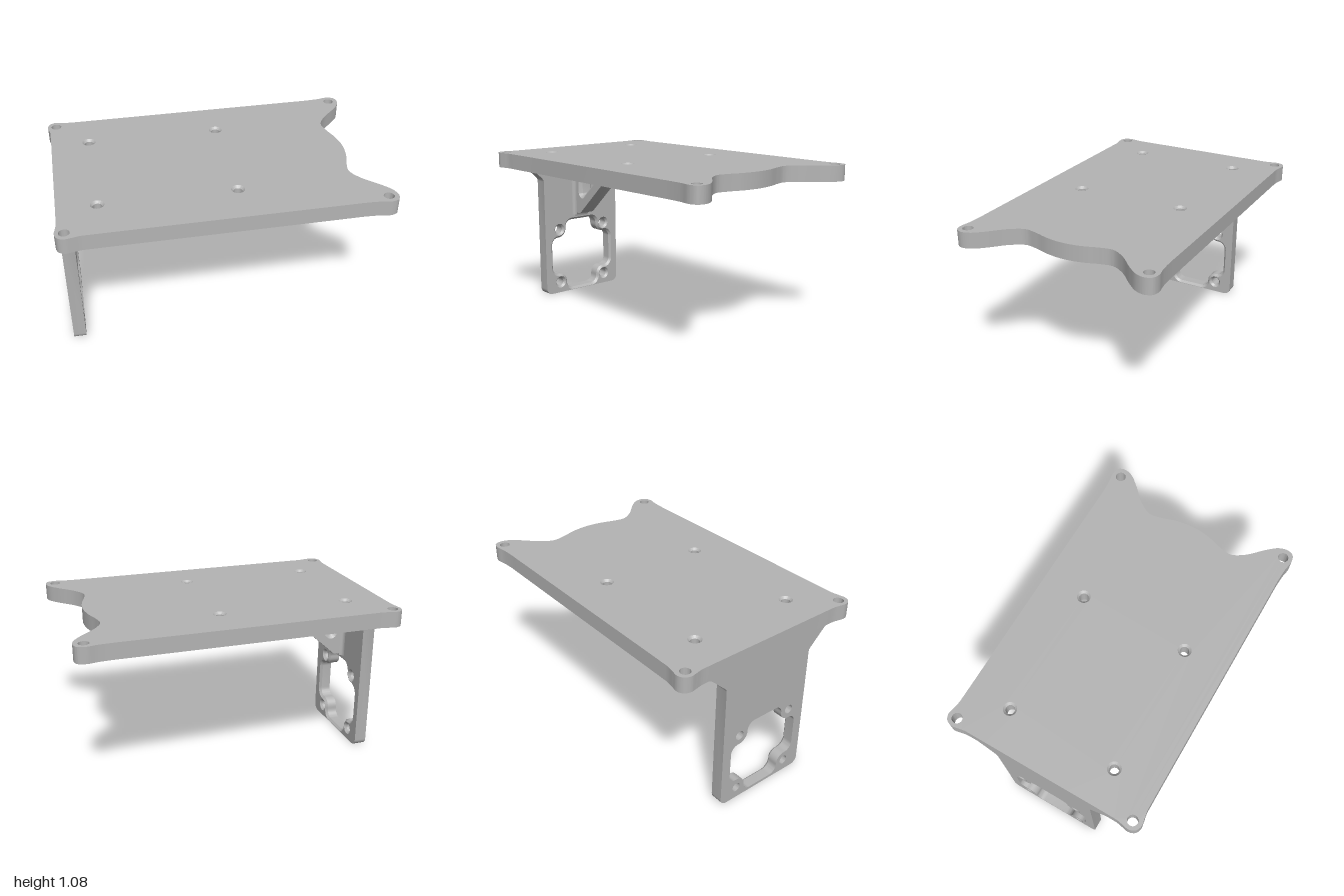
import * as THREE from 'three';
import { toCreasedNormals } from 'three/addons/utils/BufferGeometryUtils.js';

const V = (x, y) => new THREE.Vector2(x, y);

// Points of an arc; angles in degrees
function arc(cx, cy, r, a0, a1, n = 10) {
  return Array.from({ length: n + 1 }, (_, i) => {
    const a = THREE.MathUtils.degToRad(a0 + ((a1 - a0) * i) / n);
    return V(cx + r * Math.cos(a), cy + r * Math.sin(a));
  });
}

// Round hole as a function of how far its rim is widened
const roundHole = (x, y, r, chamferScale = 1) => (c) => arc(x, y, r + c * chamferScale, 0, 360, 32).slice(0, -1);

// Slab along z with holes whose rims are chamfered by c0 (bottom) and c1 (top)
function slab(outline, holes, depth, c0 = 0, c1 = 0) {
  const pos = [];
  const cap = (c, z, flip) => {
    const shape = new THREE.Shape(outline);
    shape.holes = holes.map((h) => new THREE.Path(h(c)));
    const g = new THREE.ShapeGeometry(shape).toNonIndexed();
    const p = g.attributes.position;
    for (let i = 0; i < p.count; i += 3) {
      for (const k of flip ? [0, 2, 1] : [0, 1, 2]) pos.push(p.getX(i + k), p.getY(i + k), z);
    }
  };
  const wall = (lo, hi, z0, z1) => lo.forEach((a, i) => {
    const j = (i + 1) % lo.length, b = lo[j], c = hi[j], d = hi[i];
    pos.push(a.x, a.y, z0, b.x, b.y, z0, c.x, c.y, z1, a.x, a.y, z0, c.x, c.y, z1, d.x, d.y, z1);
  });
  cap(c0, 0, true);
  cap(c1, depth, false);
  wall(outline, outline, 0, depth);
  for (const h of holes) {
    const ring = (c) => h(c).reverse();
    if (c0) wall(ring(c0), ring(0), 0, c0);
    wall(ring(0), ring(0), c0, depth - c1);
    if (c1) wall(ring(0), ring(c1), depth - c1, depth);
  }
  const g = new THREE.BufferGeometry();
  g.setAttribute('position', new THREE.Float32BufferAttribute(pos, 3));
  return toCreasedNormals(g, 0.5);
}

// Wavy outline of the top plate, mirrored front to back
function plateOutline() {
  const half = [
    [0.848, 0], [0.835, 0.11], [0.805, 0.21], [0.793, 0.29], [0.837, 0.372], [0.935, 0.472],
    [0.985, 0.535], [0.999, 0.59], [0.983, 0.63], [0.94, 0.645], [0.87, 0.635], [0.78, 0.63],
    [0.7, 0.63], [0, 0.63], [-0.8, 0.63], [-0.86, 0.631], [-0.91, 0.64], [-0.95, 0.645],
    [-0.985, 0.628], [-1, 0.59], [-0.994, 0.55], [-0.987, 0.51], [-0.986, 0.45], [-0.986, 0],
  ];
  const back = half.slice(1, -1).reverse().map(([x, z]) => [x, -z]);
  const pts = [...half, ...back].map(([x, y]) => new THREE.Vector3(x, y, 0));
  return new THREE.CatmullRomCurve3(pts, true, 'centripetal').getPoints(368).slice(0, -1).map((p) => V(p.x, p.y));
}

// Square opening with scalloped corners that go round the four screw holes
function motorOpening(c) {
  const quarter = [
    ...arc(0.208, 0.086, 0.052 + c, 0, 90),
    ...arc(0.2, 0.2, 0.062 - c, 270, 180),
    ...arc(0.086, 0.208, 0.052 + c, 0, 90),
  ];
  return [0, 1, 2, 3].flatMap((k) =>
    quarter.map((p) => p.clone().rotateAround(V(0, 0), (k * Math.PI) / 2).add(V(0, 0.278))));
}

// Rounded triangular window of the rib
const ribWindow = (c) => [
  ...arc(-0.815, 0.89, 0.02 + c, 90, 180),
  ...arc(-0.812, 0.748, 0.02 + c, 180, 312),
  ...arc(-0.655, 0.888, 0.02 + c, -48, 90),
];

export function createModel() {
  const model = new THREE.Group();
  const grey = new THREE.MeshStandardMaterial({ color: 0xb4b4b4 });
  grey.name = 'grey';
  const add = (name, geometry) => {
    const mesh = new THREE.Mesh(geometry, grey);
    mesh.name = name;
    model.add(mesh);
    return mesh;
  };

  // Top plate with corner holes and chamfered mounting holes
  const plateHoles = [];
  for (const s of [-1, 1]) {
    plateHoles.push(roundHole(-0.945, s * 0.587, 0.032, 0), roundHole(0.938, s * 0.587, 0.032, 0));
    plateHoles.push(roundHole(-0.745, s * 0.352, 0.028), roundHole(0.085, s * 0.352, 0.028));
  }
  const plate = slab(plateOutline(), plateHoles, 0.1, 0, 0.014);
  plate.rotateX(-Math.PI / 2).translate(0, 0.975, 0);
  add('topPlate', plate);

  // Upright bracket with flared shoulders
  const side = [
    ...arc(0.278, 0.045, 0.045, -90, 0, 8),
    V(0.323, 0.845), V(0.326, 0.858), V(0.334, 0.868), V(0.425, 0.955), V(0.438, 0.966), V(0.455, 0.975),
  ];
  const bracketOutline = [...side, ...side.slice().reverse().map((p) => V(-p.x, p.y))];
  const bracketHoles = [motorOpening];
  for (const z of [-0.2, 0.2]) for (const y of [0.078, 0.478]) bracketHoles.push(roundHole(z, y, 0.03, 0.9));
  const bracket = slab(bracketOutline, bracketHoles, 0.08, 0, 0.015);
  bracket.rotateY(Math.PI / 2).translate(-0.985, 0, 0);
  add('uprightBracket', bracket);

  // Diagonal rib between bracket and plate
  const ribOutline = [
    V(-0.91, 0.975), V(-0.91, 0.56), V(-0.905, 0.56), V(-0.902, 0.575), V(-0.893, 0.586), V(-0.88, 0.59),
    V(-0.85, 0.59), V(-0.835, 0.596), V(-0.477, 0.917), V(-0.472, 0.928),
    V(-0.472, 0.955), V(-0.467, 0.967), V(-0.455, 0.975),
  ];
  add('supportRib', slab(ribOutline, [ribWindow], 0.114, 0.022, 0.022).translate(0, 0, -0.057));

  // Concave fillets along the inner joints
  const X = new THREE.Vector3(1, 0, 0), Y = new THREE.Vector3(0, 1, 0), Z = new THREE.Vector3(0, 0, 1);
  const fillet = (name, u, v, length, x, y, z) => {
    const r = 0.024;
    const g = slab([V(0, 0), ...arc(r, r, r, 270, 180, 6)], [], length);
    const w = u.clone().cross(v);
    g.applyMatrix4(new THREE.Matrix4().makeBasis(u, v, w).setPosition(x, y, z));
    add(name, g);
  };
  const down = Y.clone().negate(), back = Z.clone().negate();
  fillet('bracketFillet', down, X, 0.88, -0.905, 0.975, -0.44);
  fillet('ribTopFillet', Z, down, 0.437, -0.905, 0.975, 0.057);
  fillet('ribTopFillet', down, back, 0.437, -0.905, 0.975, -0.057);
  fillet('ribSideFillet', Z, X, 0.4, -0.905, 0.575, 0.057);
  fillet('ribSideFillet', X, back, 0.4, -0.905, 0.575, -0.057);

  return model;
}
